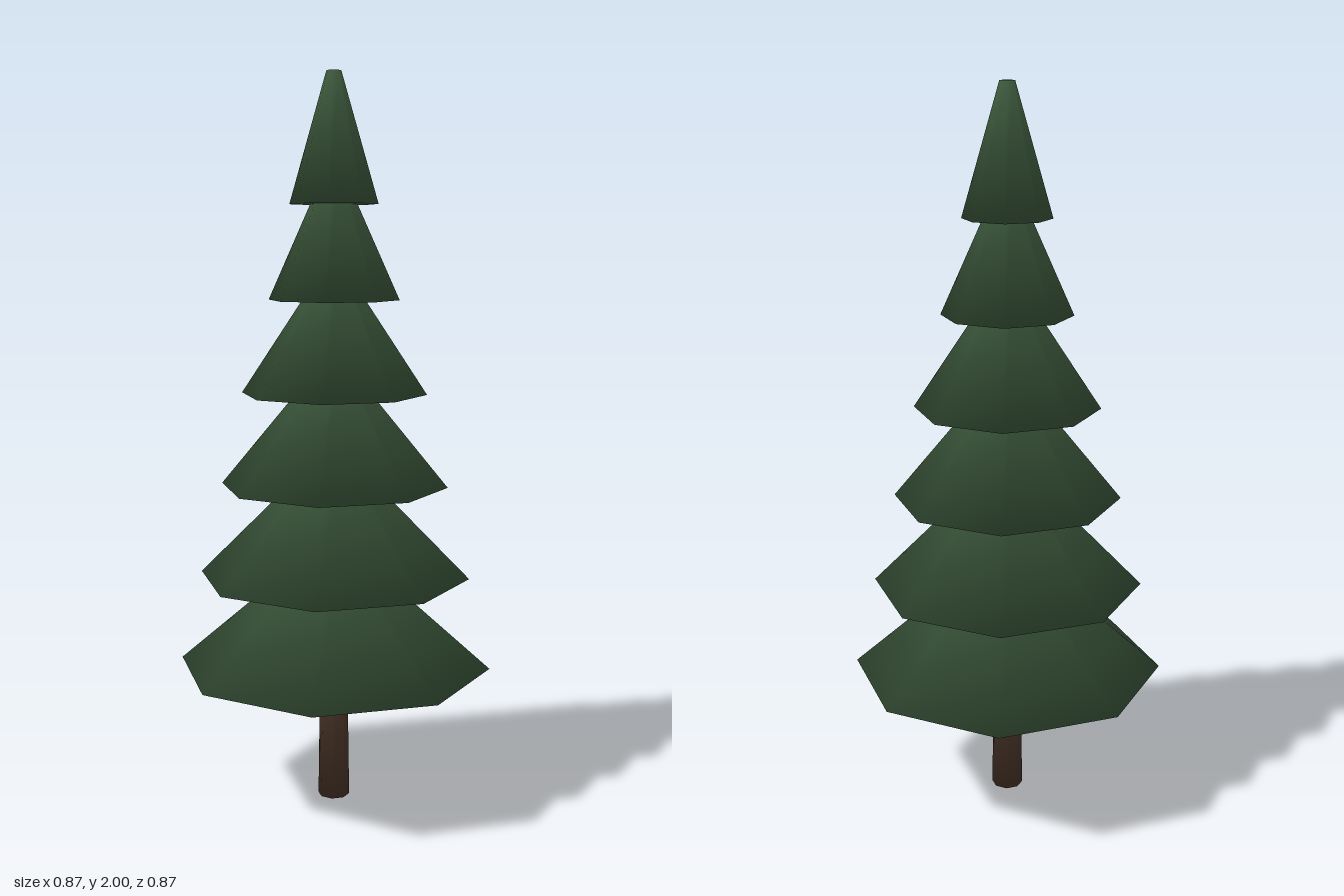
import * as THREE from 'three';

const SIDES = 8;

// Closed tapered octagonal prism whose normals blend softly over the rims
function frustum(rBottom, rTop, y0, y1) {
  const pos = [], nor = [], idx = [];
  const len = Math.hypot(y1 - y0, rBottom - rTop);
  const out = (y1 - y0) / len, up = (rBottom - rTop) / len;
  for (const [r, y, cap] of [[rBottom, y0, -1], [rTop, y1, 1]]) {
    for (let i = 0; i < SIDES; i++) {
      const a = (i / SIDES) * Math.PI * 2;
      const n = new THREE.Vector3(Math.sin(a) * out, up + cap, Math.cos(a) * out).normalize();
      pos.push(Math.sin(a) * r, y, Math.cos(a) * r);
      nor.push(n.x, n.y, n.z);
    }
  }
  for (let i = 0; i < SIDES; i++) {
    const j = (i + 1) % SIDES;
    idx.push(i, j, SIDES + j, i, SIDES + j, SIDES + i);
  }
  // End caps
  for (let i = 1; i < SIDES - 1; i++) {
    idx.push(0, i + 1, i, SIDES, SIDES + i, SIDES + i + 1);
  }
  const g = new THREE.BufferGeometry();
  g.setAttribute('position', new THREE.Float32BufferAttribute(pos, 3));
  g.setAttribute('normal', new THREE.Float32BufferAttribute(nor, 3));
  g.setIndex(idx);
  return g;
}

export function createModel() {
  const tree = new THREE.Group();
  tree.name = 'pineTree';

  const needles = new THREE.MeshStandardMaterial({ color: 0x3a553a });
  needles.name = 'needle green';
  const bark = new THREE.MeshStandardMaterial({ color: 0x4a3528 });
  bark.name = 'bark brown';

  // Trunk, running a little way into the lowest tier
  const trunk = new THREE.Mesh(frustum(0.044, 0.037, 0, 0.48), bark);
  trunk.name = 'trunk';
  tree.add(trunk);

  // Six overlapping foliage tiers, shrinking evenly upward
  const radii = [0.435, 0.375, 0.313, 0.254, 0.178, 0.12];
  const height = 0.345, step = 0.254;
  radii.forEach((r, i) => {
    const y = 0.385 + i * step;
    const tier = new THREE.Mesh(frustum(r, 0.034 - i * 0.0028, y, y + height), needles);
    tier.name = 'foliageTier' + (i + 1);
    tree.add(tier);
  });

  return tree;
}
